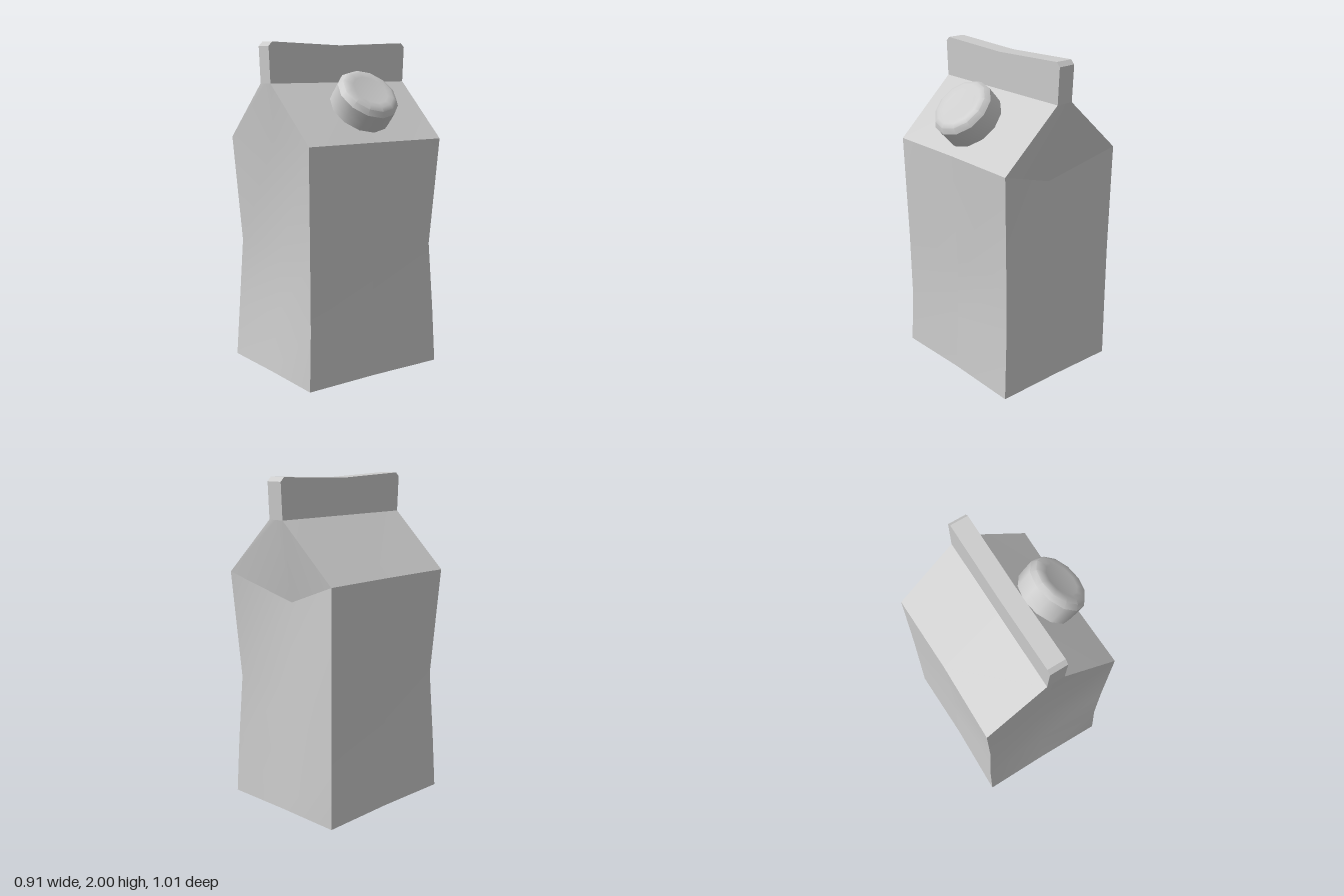
import * as THREE from 'three';
import { toCreasedNormals } from 'three/addons/utils/BufferGeometryUtils.js';

// Eight points around the carton: four corners and four side middles.
// pinch pulls the front-left and back-right corners in; the dents hollow the side middles.
function ring({ y, x0, x1, zf, zb, pinch = 0, side = 0, front = 0, back = 0, backDrop = 0, sag = 0 }) {
  const xm = (x0 + x1) / 2;
  return [
    [x0 + pinch, y, zf - pinch],
    [xm, y, zf - front],
    [x1, y, zf],
    [x1 - side, y - sag, 0],
    [x1 - pinch, y, zb + pinch],
    [xm, y - backDrop, zb + back],
    [x0, y, zb],
    [x0 + side, y - sag, 0],
  ];
}

function creased(positions, index) {
  const geometry = new THREE.BufferGeometry();
  geometry.setAttribute('position', new THREE.Float32BufferAttribute(positions, 3));
  geometry.setIndex(index);
  return toCreasedNormals(geometry, 0.6);
}

// Skin a stack of rings along the chosen run of ring points.
const ALL = [0, 1, 2, 3, 4, 5, 6, 7, 0], FRONT = [7, 0, 1, 2, 3], BACK = [3, 4, 5, 6, 7];
function skin(rings, run) {
  const n = run.length, index = [];
  for (let r = 0; r < rings.length - 1; r++) {
    for (let i = 0; i < n - 1; i++) {
      const a = r * n + i;
      index.push(a, a + 1, a + 1 + n, a, a + 1 + n, a + n);
    }
  }
  return creased(rings.flatMap((points) => run.flatMap((i) => points[i])), index);
}

// Close a ring with a face, bent across the side middles.
function lid(points, up) {
  const index = [0, 1, 7, 1, 3, 7, 1, 2, 3, 7, 3, 5, 3, 4, 5, 7, 5, 6];
  return creased(points.flat(), up ? index : index.reverse());
}

export function createModel() {
  const group = new THREE.Group();
  const material = new THREE.MeshStandardMaterial({ color: 0xcccccc });
  const add = (name, geometry) => {
    const mesh = new THREE.Mesh(geometry, material);
    mesh.name = name;
    group.add(mesh);
    return mesh;
  };

  // Box body with a crumpled waist
  const body = [
    ring({ y: 0, x0: -0.455, x1: 0.395, zf: 0.48, zb: -0.48, side: 0.01, front: 0.005, back: 0.005 }),
    ring({ y: 0.35, x0: -0.455, x1: 0.385, zf: 0.466, zb: -0.478, pinch: 0.008, side: 0.015, front: 0.035, back: 0.03 }),
    ring({ y: 0.76, x0: -0.455, x1: 0.388, zf: 0.47, zb: -0.478, pinch: 0.03, side: 0.025, front: 0.07, back: 0.06 }),
    ring({ y: 1.42, x0: -0.46, x1: 0.4, zf: 0.483, zb: -0.485, side: 0.008, front: 0.04, back: 0.105, backDrop: 0.15 }),
  ];
  const eave = body[3];

  // Narrow foot of the fin, where the two roof slopes meet
  const ridge = { x0: -0.085, x1: 0.025 };
  const ridgeBase = ring({ y: 1.76, ...ridge, zf: 0.495, zb: -0.495 });

  // The front runs smoothly up into its gable; the back gable is folded in along a crease
  add('frontHalf', skin([...body, ridgeBase], FRONT));
  add('backHalf', skin(body, BACK));
  add('backGable', skin([eave, ridgeBase], BACK));
  add('base', lid(body[0], false));

  // Upright sealing fin with clipped ends and a sagging top
  const finTop = ring({ y: 2, ...ridge, zf: 0.48, zb: -0.48, sag: 0.018 });
  add('topFin', skin([ridgeBase, ring({ y: 1.975, ...ridge, zf: 0.505, zb: -0.505, sag: 0.015 }), finTop], ALL));
  add('finTop', lid(finTop, true));

  // Screw cap tilted square to the right roof slope
  const profile = [[0, 0], [0.192, 0], [0.194, 0.05], [0.194, 0.12], [0.172, 0.15], [0.145, 0.162], [0.11, 0.158], [0, 0.153]]
    .map(([r, h]) => new THREE.Vector2(r, h));
  const cap = add('screwCap', toCreasedNormals(new THREE.LatheGeometry(profile, 12), 0.6));
  cap.position.set(0.225, 1.605, 0);
  cap.rotation.z = -0.737;

  return group;
}
